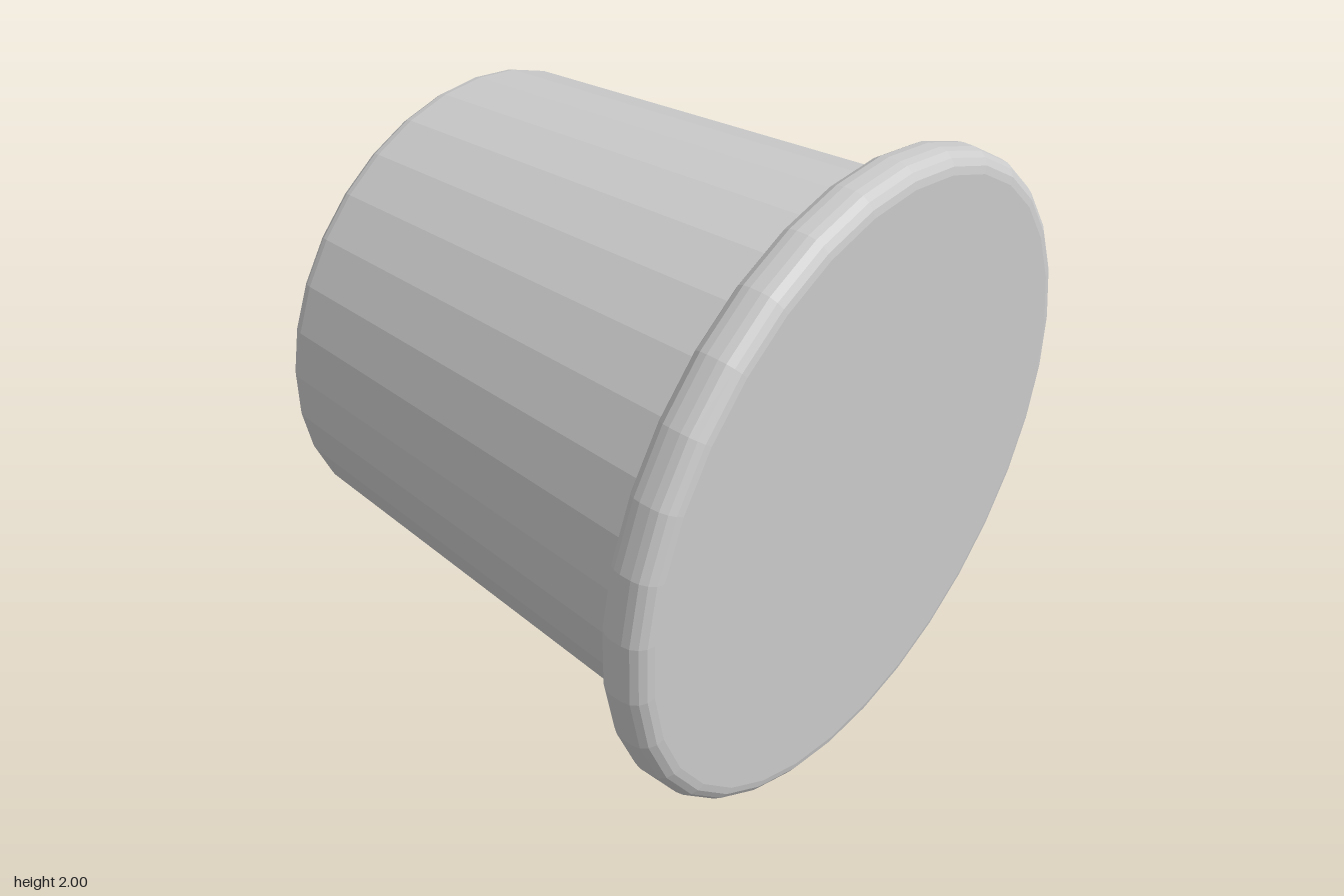
import * as THREE from 'three';

const SIDES = 32;
const material = new THREE.MeshStandardMaterial({ color: 0xcccccc, flatShading: true });

// Points of a rounded profile corner, swept between two angles in degrees
function corner(r, z, radius, from, to, steps = 4) {
  return Array.from({ length: steps + 1 }, (_, i) => {
    const a = THREE.MathUtils.degToRad(from + ((to - from) * i) / steps);
    return new THREE.Vector2(r + radius * Math.cos(a), z + radius * Math.sin(a));
  });
}

// Turns a back-to-front profile around the z axis, with a flat facet on top
function turned(name, points) {
  const geometry = new THREE.LatheGeometry(points, SIDES);
  geometry.rotateY(Math.PI / SIDES);
  geometry.rotateX(Math.PI / 2);
  const mesh = new THREE.Mesh(geometry, material);
  mesh.name = name;
  mesh.position.y = 1;
  return mesh;
}

export function createModel() {
  const group = new THREE.Group();
  group.name = 'flangedPlug';

  // Tapered body with a closed, rounded back end
  group.add(turned('taperedBody', [
    new THREE.Vector2(0, -0.805),
    ...corner(0.705, -0.755, 0.05, -90, -4),
    new THREE.Vector2(0.865, 0.65),
  ]));

  // Wide front flange with rounded edges
  group.add(turned('frontFlange', [
    new THREE.Vector2(0.865, 0.65),
    ...corner(0.943, 0.71, 0.06, -90, 0),
    ...corner(0.943, 0.745, 0.06, 0, 90),
    new THREE.Vector2(0, 0.805),
  ]));

  return group;
}
